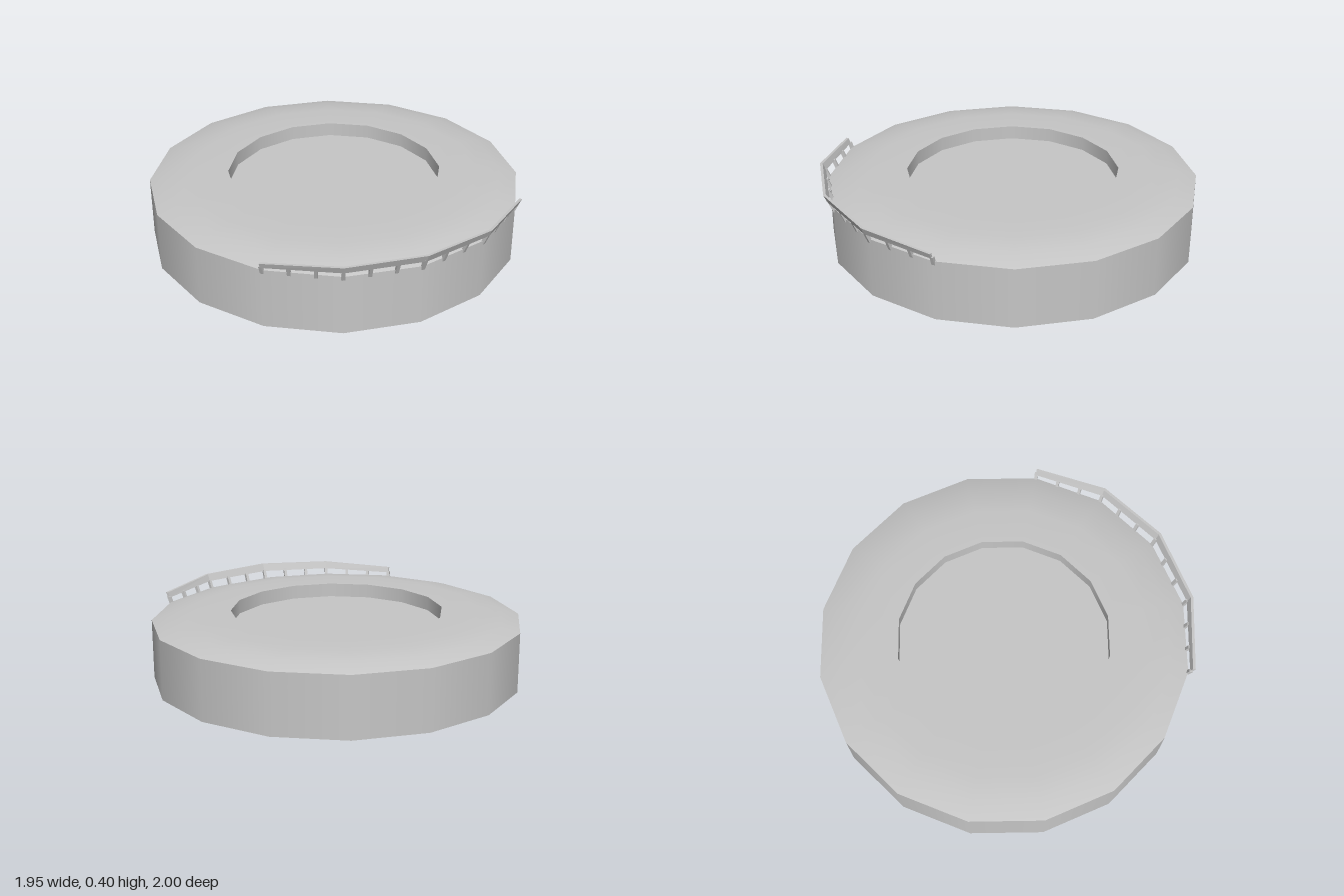
import * as THREE from 'three';

const SIDES = 16;
const CENTRE_Z = -0.025;
const STEP = (Math.PI * 2) / SIDES;

// Flat-sided solid through four-cornered sections, each counterclockwise about the travel direction
function loft(sections) {
  const pos = [];
  const tri = (...pts) => pts.forEach((p) => pos.push(p.x, p.y, p.z));
  for (let i = 0; i < sections.length - 1; i++) {
    const a = sections[i], b = sections[i + 1];
    for (let j = 0; j < 4; j++) {
      const k = (j + 1) % 4;
      tri(a[k], b[k], b[j]);
      tri(a[k], b[j], a[j]);
    }
  }
  const s = sections[0], e = sections[sections.length - 1];
  tri(s[0], s[2], s[1]);
  tri(s[0], s[3], s[2]);
  tri(e[0], e[1], e[2]);
  tri(e[0], e[2], e[3]);
  const g = new THREE.BufferGeometry();
  g.setAttribute('position', new THREE.Float32BufferAttribute(pos, 3));
  g.computeVertexNormals();
  return g;
}

// Point on the leaning plane of the railing: corner k (-2..2), t from foot to top edge, moved inward by inset
function cornerPoint(k, t, inset) {
  const topR = [1.023, 1.019, 1.006][Math.abs(k)];
  const topY = [0.398, 0.39, 0.368][Math.abs(k)];
  const r = THREE.MathUtils.lerp(0.979, topR, t) - inset;
  const y = THREE.MathUtils.lerp(0.297, topY, t);
  return new THREE.Vector3(r * Math.sin(k * STEP), y, r * Math.cos(k * STEP));
}

// The same, anywhere along the straight runs between corners
function railPoint(u, t, inset) {
  const k = Math.min(Math.floor(u), 1);
  return cornerPoint(k, t, inset).lerp(cornerPoint(k + 1, t, inset), u - k);
}

export function createModel() {
  const model = new THREE.Group();
  model.name = 'roundPlatform';
  const grey = new THREE.MeshStandardMaterial({ color: 0xc6c6c6 });
  grey.name = 'grey';

  const add = (name, geometry, parent) => {
    const mesh = new THREE.Mesh(geometry, grey);
    mesh.name = name;
    parent.add(mesh);
  };

  // Platform, split at its sharp rims so each surface stays smooth
  const platform = new THREE.Group();
  platform.name = 'platform';
  const surfaces = {
    underside: [[0, 0], [0.975, 0]],
    outerWall: [[0.975, 0], [0.975, 0.315]],
    deck: [[0.975, 0.315], [0.88, 0.344], [0.75, 0.36], [0.56, 0.36]],
    recessWall: [[0.56, 0.36], [0.56, 0.285]],
    recessFloor: [[0.56, 0.285], [0, 0.285]],
  };
  for (const [name, profile] of Object.entries(surfaces)) {
    const points = profile.map(([r, y]) => new THREE.Vector2(r, y));
    add(name, new THREE.LatheGeometry(points, SIDES), platform);
  }
  model.add(platform);

  // Railing across the front quarter, leaning outward
  const railing = new THREE.Group();
  railing.name = 'railing';
  const sections = [-2, -1, 0, 1, 2].map((k) => [
    cornerPoint(k, 1, 0), cornerPoint(k, 0.6, 0),
    cornerPoint(k, 0.6, 0.014), cornerPoint(k, 1, 0.014),
  ]);
  add('railBoard', loft(sections), railing);

  // Posts, three to each straight run
  for (let i = 0; i <= 12; i++) {
    const u = -2 + i / 3;
    const side = new THREE.Vector3(Math.cos(u * STEP), 0, -Math.sin(u * STEP)).multiplyScalar(0.008);
    const ring = (t) => {
      const outer = railPoint(u, t, 0.001), inner = railPoint(u, t, 0.02);
      return [
        outer.clone().sub(side), outer.clone().add(side),
        inner.clone().add(side), inner.clone().sub(side),
      ];
    };
    add('railPost', loft([ring(0), ring(0.68)]), railing);
  }
  model.add(railing);

  platform.position.z = railing.position.z = CENTRE_Z;
  return model;
}
